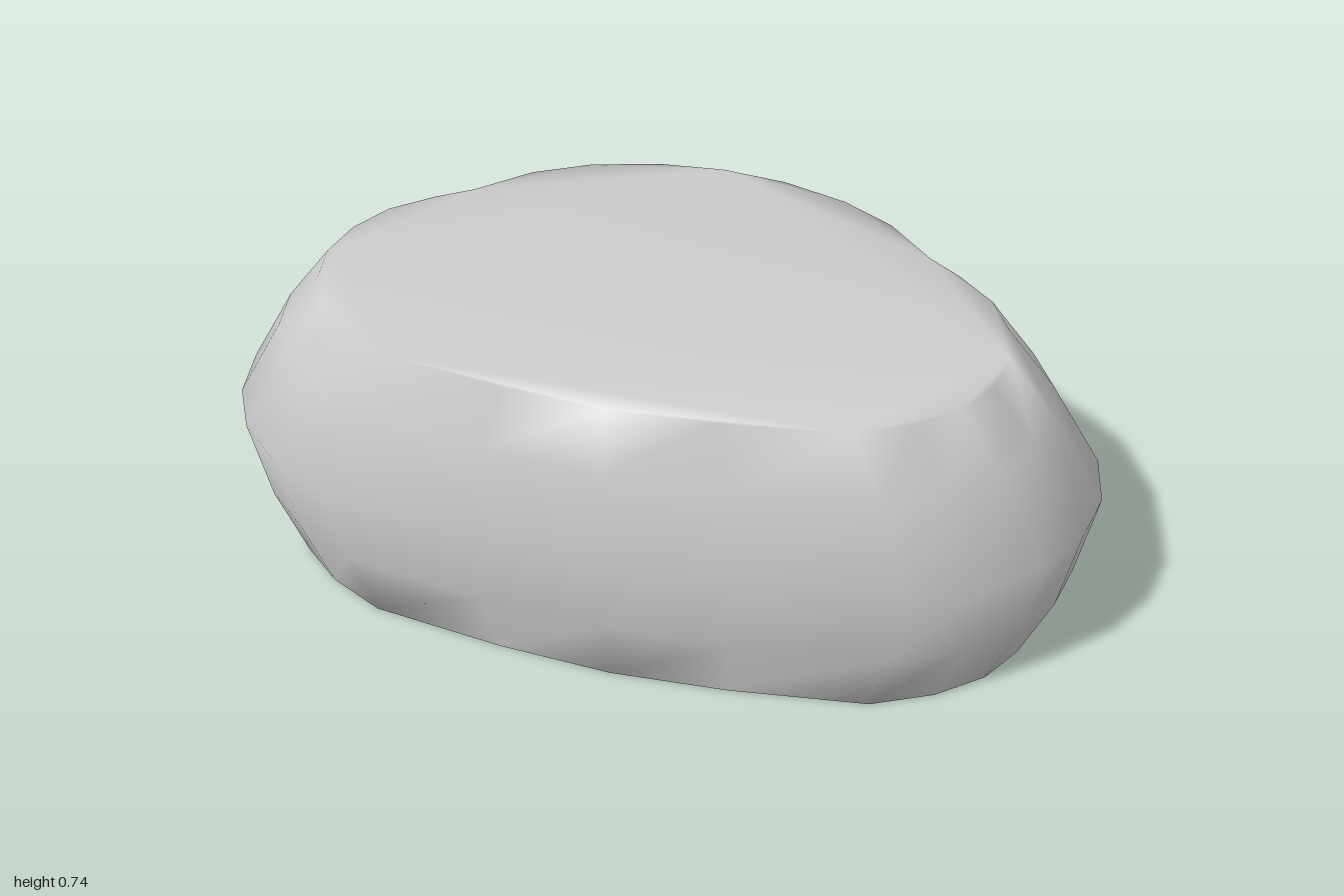
import * as THREE from 'three';

// Half of the cloud-shaped plan at its widest level, [x, z], front centre to back centre
const HALF = [
  [0, 0.62], [0.3, 0.6], [0.65, 0.55], [0.8, 0.47], [0.91, 0.37], [0.975, 0.25], [1, 0.115],
  [0.975, -0.02], [0.91, -0.14], [0.8, -0.24], [0.7, -0.31], [0.56, -0.45],
  [0.4, -0.54], [0.2, -0.6], [0, -0.62],
];

// Levels: height, half width, front z, back z
const LEVELS = [
  [0, 0.89, 0.545, -0.49],
  [0.17, 0.96, 0.58, -0.55],
  [0.38, 1, 0.62, -0.62],
  [0.59, 0.88, 0.57, -0.51],
  [0.735, 0.77, 0.53, -0.43],
];

function cloudGeometry() {
  const mirrored = HALF.slice(1, -1).reverse().map(([x, z]) => [-x, z]);
  const outline = [...HALF, ...mirrored];
  const n = outline.length;
  const positions = [];
  const indices = [];

  // Rings scaled from the plan
  for (const [y, halfWidth, front, back] of LEVELS) {
    for (const [x, z] of outline) {
      positions.push(x * halfWidth, y, back + ((z + 0.62) / 1.24) * (front - back));
    }
  }

  // Side walls
  for (let level = 0; level < LEVELS.length - 1; level++) {
    for (let j = 0; j < n; j++) {
      const a = level * n + j;
      const b = level * n + ((j + 1) % n);
      indices.push(a, b, b + n, a, b + n, a + n);
    }
  }

  // Flat top and base, sharing the rim so the shading runs over the edge
  const contour = outline.map(([x, z]) => new THREE.Vector2(x, -z));
  const top = (LEVELS.length - 1) * n;
  for (const [a, b, c] of THREE.ShapeUtils.triangulateShape(contour, [])) {
    indices.push(top + a, top + b, top + c, a, c, b);
  }

  const geometry = new THREE.BufferGeometry();
  geometry.setAttribute('position', new THREE.Float32BufferAttribute(positions, 3));
  geometry.setIndex(indices);
  geometry.computeVertexNormals();
  return geometry;
}

export function createModel() {
  const group = new THREE.Group();
  group.name = 'cloud';

  const lightGrey = new THREE.MeshStandardMaterial({ color: 0xcccccc });
  lightGrey.name = 'light grey';

  const body = new THREE.Mesh(cloudGeometry(), lightGrey);
  body.name = 'cloudBody';
  group.add(body);
  return group;
}
